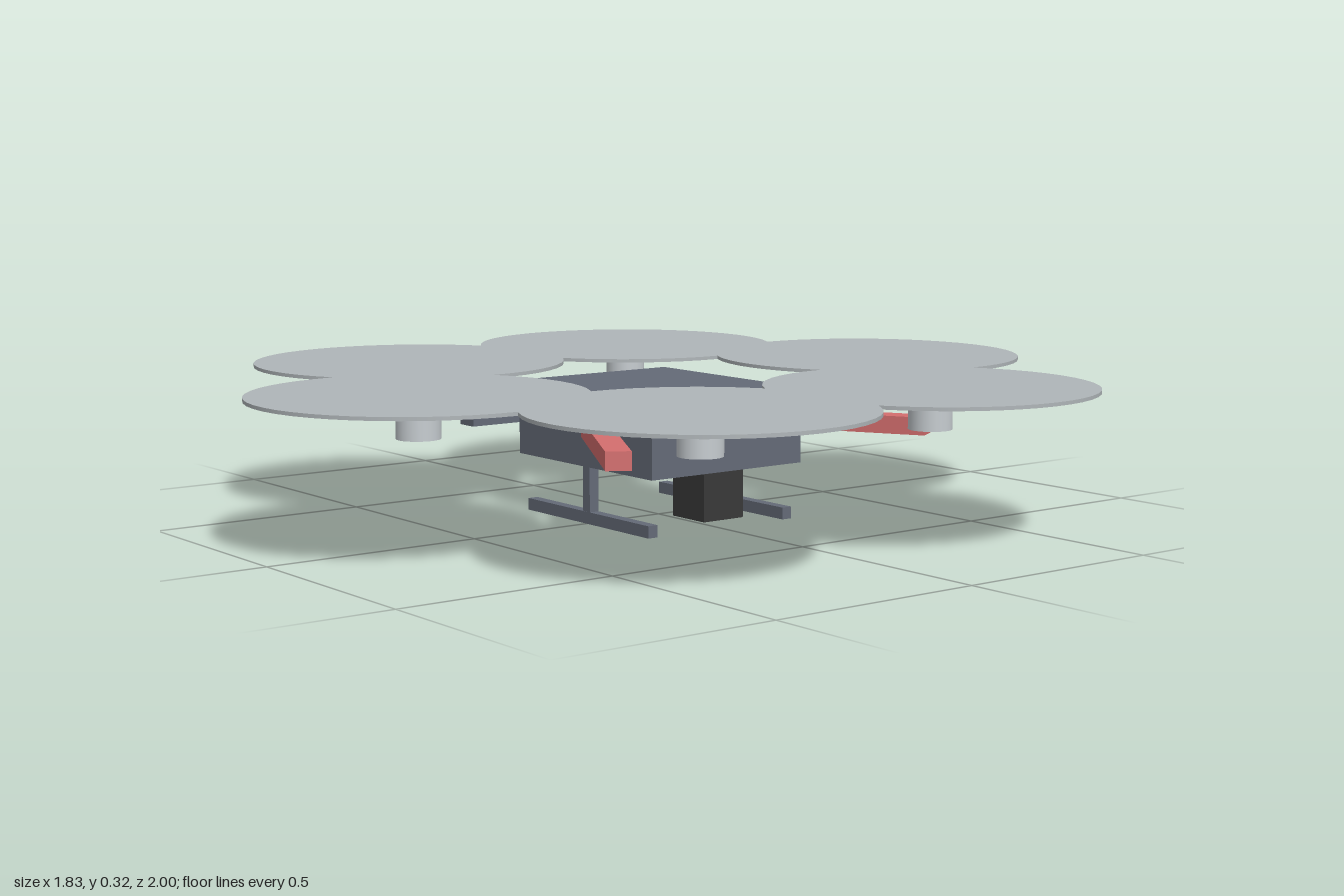
import * as THREE from 'three';

const paint = (name, color) => {
  const m = new THREE.MeshStandardMaterial({ color });
  m.name = name;
  return m;
};

export function createModel() {
  const model = new THREE.Group();
  model.name = 'drone';
  const slate = paint('slate grey', 0x646a77);
  const silver = paint('silver', 0xc6ccd0);
  const rotorGrey = paint('rotor grey', 0xafb5b8);
  const red = paint('red', 0xd46e6e);
  const black = paint('lens black', 0x383838);

  const add = (name, geometry, material, x, y, z) => {
    const mesh = new THREE.Mesh(geometry, material);
    mesh.name = name;
    mesh.position.set(x, y, z);
    model.add(mesh);
    return mesh;
  };

  // Central hull and the camera slung below it
  add('body', new THREE.BoxGeometry(0.5, 0.17, 0.42), slate, 0, 0.215, 0);
  add('camera', new THREE.BoxGeometry(0.11, 0.11, 0.11), black, 0.18, 0.075, 0);

  // Three arms crossing the hull edges
  const armGeometry = new THREE.BoxGeometry(0.054, 0.04, 0.62);
  [60, 180, 300].forEach((degrees) => {
    const a = THREE.MathUtils.degToRad(degrees);
    const arm = add('arm', armGeometry, degrees === 180 ? slate : red,
      0.318 * Math.cos(a), 0.215, 0.318 * Math.sin(a));
    arm.rotation.y = a;
  });

  // Six motors, each with a spinning-rotor disc
  const motorGeometry = new THREE.CylinderGeometry(0.048, 0.048, 0.085, 24);
  const discGeometry = new THREE.CylinderGeometry(0.364, 0.364, 0.008, 48);
  for (let i = 0; i < 6; i++) {
    const a = Math.PI / 6 + (i * Math.PI) / 3;
    const x = 0.636 * Math.cos(a);
    const z = 0.636 * Math.sin(a);
    add('motor', motorGeometry, silver, x, 0.2725, z);
    add('rotorDisc', discGeometry, rotorGrey, x, 0.321, z);
  }

  // Landing gear: a post and a skid on each side
  for (const side of [-1, 1]) {
    add('landingPost', new THREE.BoxGeometry(0.025, 0.11, 0.024), slate, 0, 0.08, side * 0.19);
    add('landingSkid', new THREE.BoxGeometry(0.455, 0.027, 0.025), slate, 0, 0.0135, side * 0.19);
  }
  return model;
}
